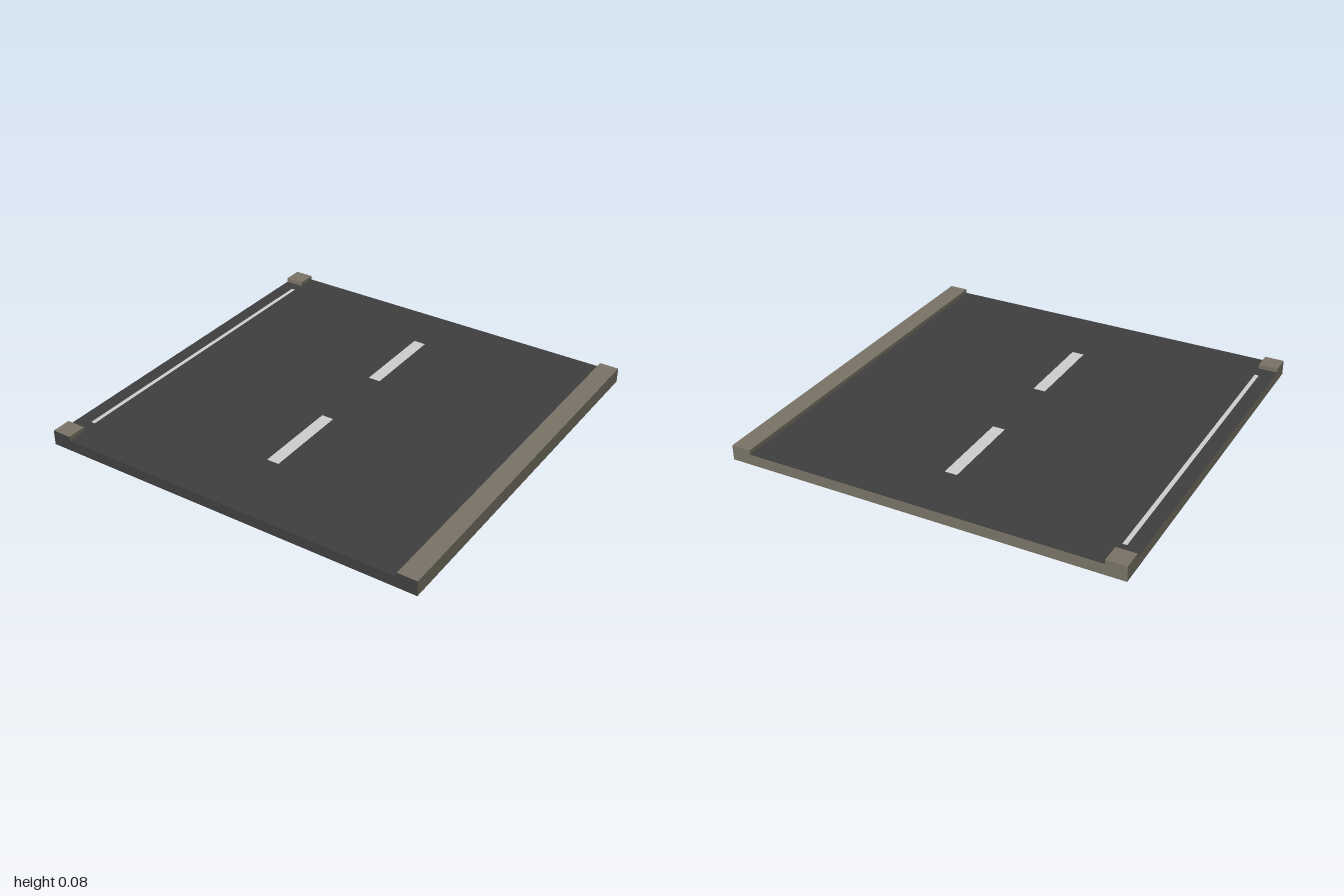
import * as THREE from 'three';

const ROAD_Y = 0.055, KERB_Y = 0.077;

export function createModel() {
  const group = new THREE.Group();
  const asphalt = new THREE.MeshStandardMaterial({ color: 0x3d3d3d });
  const stone = new THREE.MeshStandardMaterial({ color: 0x787265 });
  const paint = new THREE.MeshStandardMaterial({ color: 0xcccccc });

  // Box given by its extents on each axis
  function block(name, [x0, x1], [y0, y1], [z0, z1], material) {
    const mesh = new THREE.Mesh(new THREE.BoxGeometry(x1 - x0, y1 - y0, z1 - z0), material);
    mesh.position.set((x0 + x1) / 2, (y0 + y1) / 2, (z0 + z1) / 2);
    mesh.name = name;
    group.add(mesh);
  }

  // Road slab: asphalt top, bottom and front end, stone on the other sides
  block('roadSlab', [-1, 1], [0, ROAD_Y], [-1, 1],
    [stone, stone, asphalt, asphalt, asphalt, stone]);

  // Long kerb on the left, corner kerbs on the right where the side road joins
  const kerbY = [ROAD_Y, KERB_Y];
  const frontEnd = [stone, stone, stone, stone, asphalt, stone];
  block('longKerb', [0.9, 1], kerbY, [-1, 1], frontEnd);
  block('frontCornerKerb', [-1, -0.9], kerbY, [0.9, 1], frontEnd);
  block('backCornerKerb', [-1, -0.9], kerbY, [-1, -0.9], stone);

  // Painted markings
  function marking(name, [x0, x1], [z0, z1]) {
    const mesh = new THREE.Mesh(new THREE.PlaneGeometry(x1 - x0, z1 - z0), paint);
    mesh.rotation.x = -Math.PI / 2;
    mesh.position.set((x0 + x1) / 2, ROAD_Y + 0.001, (z0 + z1) / 2);
    mesh.name = name;
    group.add(mesh);
  }
  marking('backCentreDash', [-0.033, 0.031], [-0.707, -0.255]);
  marking('frontCentreDash', [-0.033, 0.031], [0.165, 0.616]);
  marking('sideRoadLine', [-0.927, -0.905], [-0.84, 0.825]);

  return group;
}
